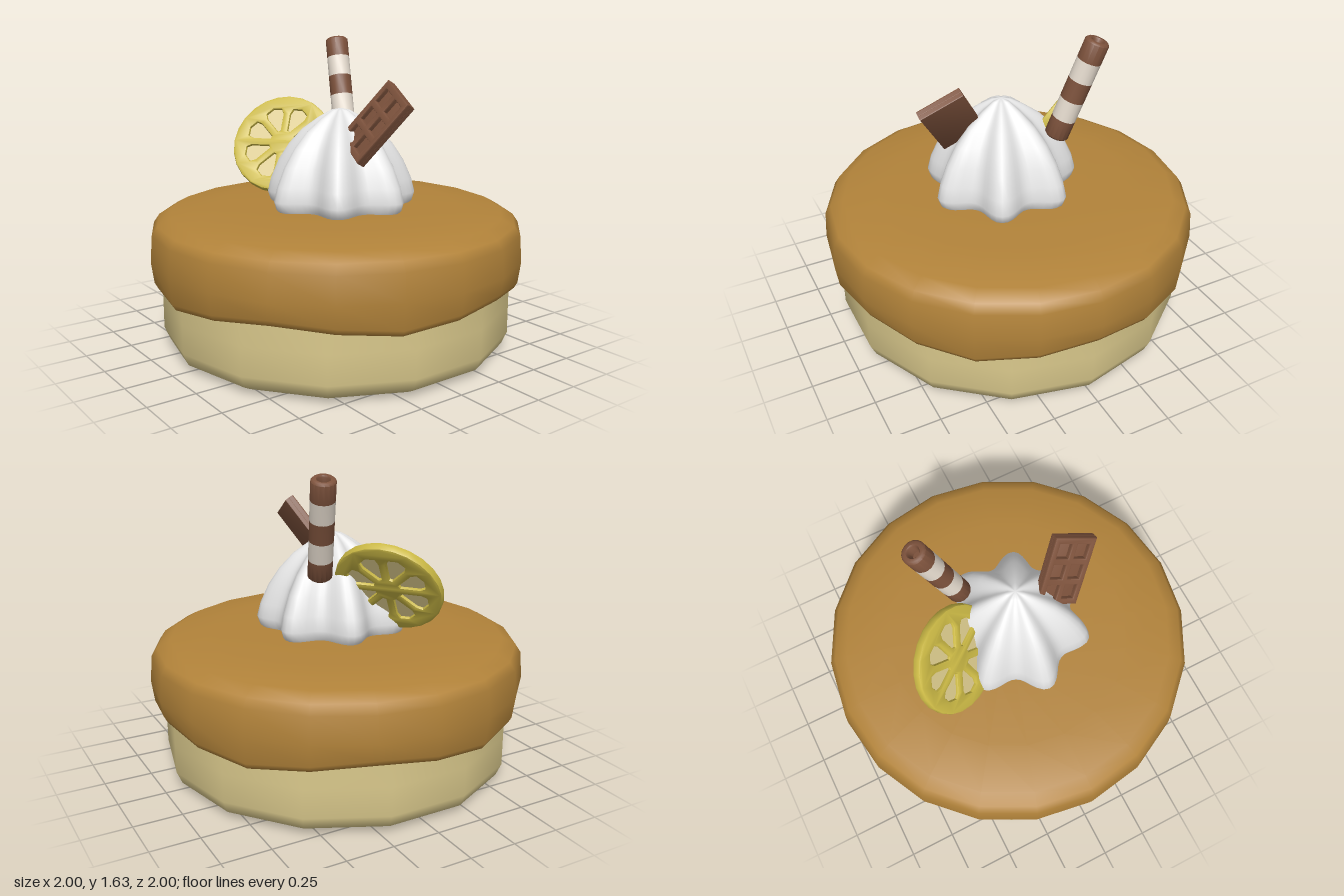
import * as THREE from 'three';
import { mergeVertices, toCreasedNormals } from 'three/addons/utils/BufferGeometryUtils.js';

const V = (x, y, z) => new THREE.Vector3(x, y, z);
const mat = (name, color) => {
  const m = new THREE.MeshStandardMaterial({ color });
  m.name = name;
  return m;
};

// Lathe with merged seam, optional vertex rule and smooth normals
function lathe(profile, sides, rule) {
  let g = new THREE.LatheGeometry(profile.map(([r, y]) => new THREE.Vector2(r, y)), sides);
  g.deleteAttribute('uv');
  g.deleteAttribute('normal');
  if (rule) {
    const p = g.attributes.position, v = V(0, 0, 0);
    for (let i = 0; i < p.count; i++) {
      v.fromBufferAttribute(p, i);
      rule(v, Math.atan2(v.x, v.z));
      p.setXYZ(i, v.x, v.y, v.z);
    }
  }
  g = mergeVertices(g, 1e-4);
  g.computeVertexNormals();
  return g;
}

function add(parent, name, geometry, material) {
  const m = new THREE.Mesh(geometry, material);
  m.name = name;
  parent.add(m);
  return m;
}

// Group whose local z is the given normal and whose local y follows up
function facing(name, position, normal, up) {
  const g = new THREE.Group();
  g.name = name;
  const z = normal.clone().normalize();
  const x = new THREE.Vector3().crossVectors(up, z).normalize();
  const y = new THREE.Vector3().crossVectors(z, x);
  g.quaternion.setFromRotationMatrix(new THREE.Matrix4().makeBasis(x, y, z));
  g.position.copy(position);
  return g;
}

// Bevelled plate centred on z = 0
function plate(shape, depth, bevel) {
  const g = new THREE.ExtrudeGeometry(shape, {
    depth: depth - 2 * bevel, bevelEnabled: true, bevelThickness: bevel,
    bevelSize: bevel, bevelOffset: -bevel, bevelSegments: 2, curveSegments: 6,
  });
  g.translate(0, 0, -depth / 2 + bevel);
  return toCreasedNormals(g, 0.7);
}

export function createModel() {
  const sponge = mat('sponge', 0xdac98c);
  const caramel = mat('caramel', 0xb2833a);
  const cream = mat('cream', 0xe6e6e6);
  const chocolate = mat('chocolate', 0x7d523c);
  const wafer = mat('wafer', 0xe6dccf);
  const rind = mat('lemon', 0xcbb945);

  const model = new THREE.Group();
  model.name = 'cake';

  // Fourteen-sided sponge with a rounded foot
  add(model, 'spongeBase', lathe([[0, 0], [0.8, 0], [0.86, 0.008], [0.91, 0.035],
    [0.938, 0.1], [0.938, 0.25], [0.938, 0.45]], 14), sponge);

  // Icing with a wavy lower lip
  add(model, 'icing', lathe([[0.88, 0.39], [0.945, 0.355], [0.968, 0.36], [0.985, 0.39],
    [1, 0.5], [0.99, 0.64], [0.96, 0.685], [0.89, 0.722], [0.65, 0.748], [0.3, 0.75], [0, 0.75]], 20,
  (v, a) => { if (v.y < 0.395) v.y -= 0.025 * Math.cos(5 * a); }), caramel);

  // Seven-pointed piped cream
  const swirl = add(model, 'whippedCream', lathe([[0.36, 0.73], [0.395, 0.76], [0.41, 0.805],
    [0.39, 0.88], [0.345, 0.98], [0.285, 1.07], [0.21, 1.15], [0.12, 1.215], [0.05, 1.255], [0, 1.265]], 84,
  (v, a) => {
    const ridge = Math.pow(0.5 + 0.5 * Math.cos(7 * a), 1.2);
    const s = 0.77 + 0.23 * ridge;
    v.x *= s;
    v.z *= s;
  }), cream);
  swirl.position.x = 0.04;

  // Striped wafer straw, hollow at both ends
  const top = V(-0.357, 1.607, -0.265), bottom = V(-0.178, 1.085, -0.193);
  const straw = new THREE.Group();
  straw.name = 'waferStraw';
  straw.position.copy(bottom);
  straw.quaternion.setFromUnitVectors(V(0, 1, 0), top.clone().sub(bottom).normalize());
  model.add(straw);
  const band = top.distanceTo(bottom) / 5, R = 0.063;
  const end = [[R, 0], [R, band - 0.01], [R - 0.01, band], [0.036, band], [0.03, band - 0.008], [0.026, band - 0.06], [0, band - 0.06]];
  for (let i = 0; i < 5; i++) {
    let profile = [[R, 0], [R, band]];
    if (i === 4) profile = end;
    if (i === 0) profile = end.map(([r, y]) => [r, band - y]).reverse();
    const g = toCreasedNormals(lathe(profile, 16), 0.8);
    add(straw, 'strawBand' + (i + 1), g, i % 2 ? wafer : chocolate).position.y = band * i;
  }

  // Lemon slice: rind with eight wedge openings over a thin pulp disc
  const lemon = facing('lemonSlice', V(-0.352, 1.035, 0.11), V(0.525, 0.525, 0.67), V(0, 1, 0));
  model.add(lemon);
  const ring = new THREE.Shape();
  ring.setFromPoints(Array.from({ length: 24 }, (_, i) => {
    const a = i * Math.PI / 12;
    return new THREE.Vector2(0.285 * Math.cos(a), 0.285 * Math.sin(a));
  }));
  const wedge = [[0.075, -0.1], [0.175, -0.27], [0.205, -0.22], [0.218, 0],
    [0.205, 0.22], [0.175, 0.27], [0.075, 0.1]];
  for (let k = 0; k < 8; k++) {
    const a = (k + 0.5) * Math.PI / 4;
    ring.holes.push(new THREE.Path(wedge.map(([r, t]) =>
      new THREE.Vector2(r * Math.cos(a + t), r * Math.sin(a + t)))));
  }
  add(lemon, 'lemonRind', plate(ring, 0.05, 0.01), rind);
  const pulp = new THREE.CylinderGeometry(0.24, 0.24, 0.016, 24);
  pulp.rotateX(Math.PI / 2);
  add(lemon, 'lemonPulp', pulp, sponge);

  // Chocolate piece: frame with a two by three grid of recesses on a solid back
  const bar = facing('chocolatePiece', V(0.325, 1.212, -0.012), V(0.04, 0.47, 0.88), V(0.19, 0.3, -0.17));
  model.add(bar);
  const W = 0.24, H = 0.39;
  const rect = (path, x, y, w, h) => {
    path.moveTo(x - w / 2, y - h / 2);
    path.lineTo(x + w / 2, y - h / 2);
    path.lineTo(x + w / 2, y + h / 2);
    path.lineTo(x - w / 2, y + h / 2);
    path.closePath();
    return path;
  };
  const grid = rect(new THREE.Shape(), 0, 0, W, H);
  for (const x of [-0.052, 0.052])
    for (const y of [-0.118, 0, 0.118]) grid.holes.push(rect(new THREE.Path(), x, y, 0.07, 0.082));
  add(bar, 'chocolateGrid', plate(grid, 0.036, 0.008), chocolate).position.z = 0.01;
  add(bar, 'chocolateBack', plate(rect(new THREE.Shape(), 0, 0, W, H), 0.03, 0.006), chocolate).position.z = -0.013;

  return model;
}
